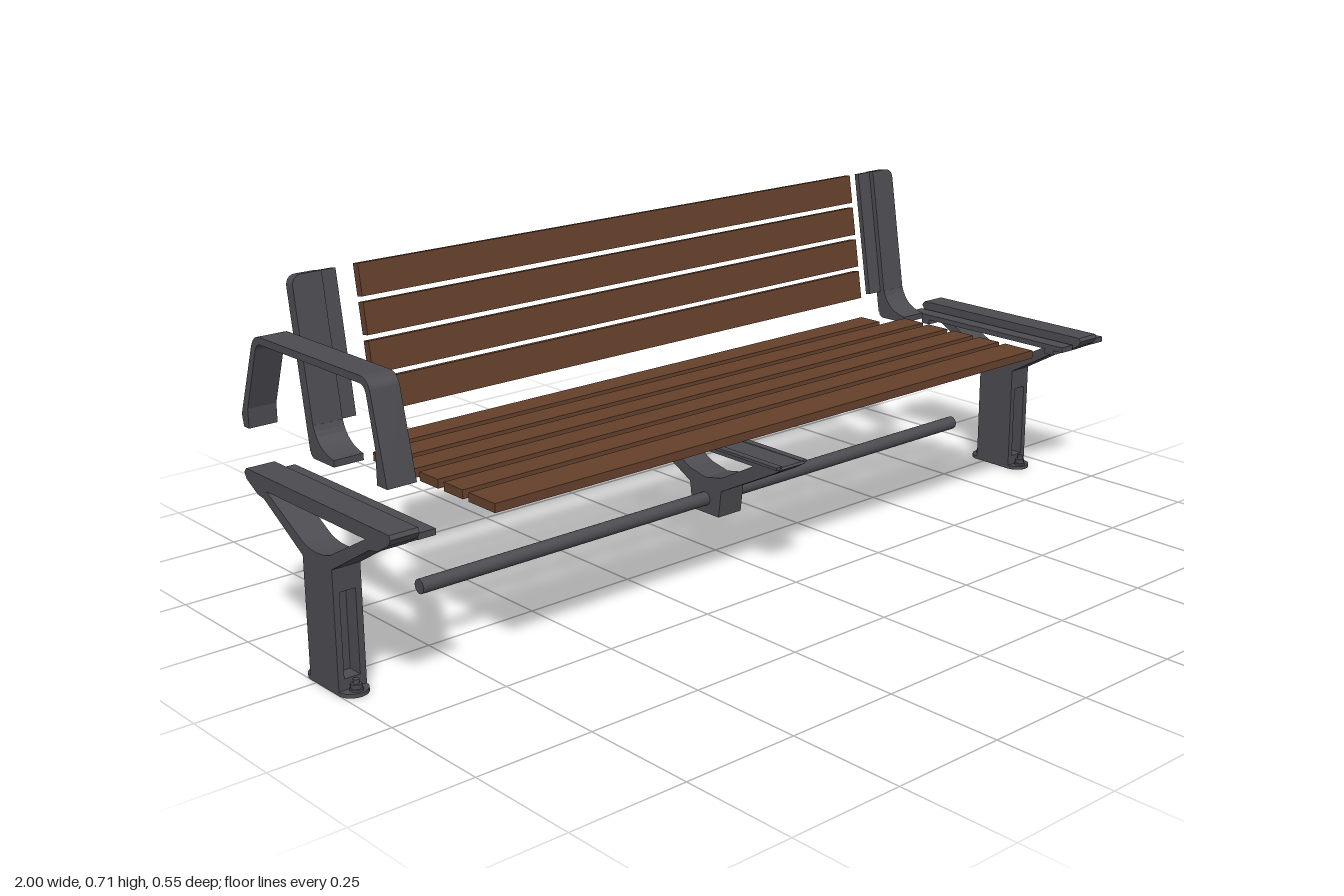
import * as THREE from 'three';

const metal = new THREE.MeshStandardMaterial({ color: 0x4c4b50 });
metal.name = 'dark grey metal';
const wood = new THREE.MeshStandardMaterial({ color: 0x64402b });
wood.name = 'brown wood';

function add(parent, name, geometry, material, x = 0, y = 0, z = 0) {
  const mesh = new THREE.Mesh(geometry, material);
  mesh.name = name;
  mesh.position.set(x, y, z);
  parent.add(mesh);
  return mesh;
}

// Box given by its limits on each axis
function box(parent, name, material, [x0, x1], [y0, y1], [z0, z1]) {
  return add(parent, name, new THREE.BoxGeometry(x1 - x0, y1 - y0, z1 - z0), material,
    (x0 + x1) / 2, (y0 + y1) / 2, (z0 + z1) / 2);
}

const points = (list) => list.map(([a, b]) => new THREE.Vector2(a, b));

// Side profile drawn in (z, y), extruded along x and centred on x = 0
function sideExtrude(shape, width) {
  const g = new THREE.ExtrudeGeometry(shape, { depth: width, bevelEnabled: false, curveSegments: 8 });
  return g.translate(0, 0, -width / 2).rotateY(-Math.PI / 2);
}

function bolt(parent, x, z) {
  add(parent, 'washer', new THREE.CylinderGeometry(0.013, 0.013, 0.004, 20), metal, x, 0.01, z);
  add(parent, 'nut', new THREE.CylinderGeometry(0.011, 0.011, 0.01, 6), metal, x, 0.016, z);
  add(parent, 'stud', new THREE.CylinderGeometry(0.006, 0.006, 0.01, 12), metal, x, 0.025, z);
}

// Post with Y-shaped arms, seat beam and slat flanges on the given sides
function makeLeg(x, sides) {
  const leg = new THREE.Group();
  leg.name = 'leg';
  leg.position.x = x;

  const frame = new THREE.Shape(points([[-0.03, 0.004], [0.03, 0.004], [0.03, 0.235], [-0.03, 0.235]]));
  const slot = new THREE.Path();
  slot.moveTo(-0.017, 0.03);
  slot.lineTo(-0.017, 0.2);
  slot.lineTo(0.017, 0.2);
  slot.lineTo(0.017, 0.03);
  slot.closePath();
  frame.holes.push(slot);
  const postGeo = new THREE.ExtrudeGeometry(frame, { depth: 0.098, bevelEnabled: false });
  add(leg, 'post', postGeo, metal, 0, 0, -0.02);
  box(leg, 'postWeb', metal, [-0.02, 0.02], [0.02, 0.21], [0.014, 0.044]);

  // Base plate with rounded ends
  const base = new THREE.Shape();
  base.absarc(0, 0.078, 0.03, 0, Math.PI, false);
  base.absarc(0, -0.02, 0.03, Math.PI, Math.PI * 2, false);
  base.closePath();
  const baseGeo = new THREE.ExtrudeGeometry(base, { depth: 0.008, bevelEnabled: false });
  add(leg, 'basePlate', baseGeo.rotateX(-Math.PI / 2).translate(0, 0, 0.058), metal);
  bolt(leg, 0, 0.09);
  bolt(leg, 0, -0.032);

  const arms = new THREE.Shape(points([
    [-0.02, 0.225], [0.078, 0.225], [0.078, 0.247], [0.207, 0.322], [0.232, 0.326], [0.268, 0.347],
    [0.275, 0.359], [0.271, 0.367], [-0.207, 0.367], [-0.215, 0.358], [-0.208, 0.346],
    [-0.17, 0.325], [-0.148, 0.322], [-0.02, 0.247]]));
  const gap = new THREE.Path();
  gap.moveTo(0.195, 0.339);
  gap.lineTo(0.073, 0.273);
  gap.quadraticCurveTo(0.029, 0.259, -0.015, 0.273);
  gap.lineTo(-0.137, 0.339);
  gap.closePath();
  arms.holes.push(gap);
  add(leg, 'arms', sideExtrude(arms, 0.06), metal);

  for (const s of sides) {
    const span = (a, b) => (s > 0 ? [a, b] : [-b, -a]);
    box(leg, 'slatFlange', metal, span(0.037, 0.075), [0.338, 0.35], [-0.21, 0.258]);
    for (const z of [-0.165, 0.218]) {
      box(leg, 'flangeLug', metal, span(0.025, 0.073), [0.326, 0.342], [z - 0.012, z + 0.012]);
    }
  }
  return leg;
}

// Bent flat-bar armrest with thickened ends
function makeArmrest() {
  const s = new THREE.Shape();
  s.moveTo(0.274, 0.45);
  s.lineTo(0.236, 0.612);
  s.quadraticCurveTo(0.23, 0.637, 0.205, 0.637);
  s.lineTo(-0.125, 0.637);
  s.quadraticCurveTo(-0.148, 0.637, -0.157, 0.612);
  s.lineTo(-0.208, 0.474);
  s.lineTo(-0.203, 0.45);
  s.lineTo(-0.185, 0.45);
  s.lineTo(-0.185, 0.488);
  s.lineTo(-0.143, 0.607);
  s.quadraticCurveTo(-0.137, 0.623, -0.122, 0.623);
  s.lineTo(0.203, 0.623);
  s.quadraticCurveTo(0.219, 0.623, 0.223, 0.606);
  s.lineTo(0.243, 0.515);
  s.lineTo(0.243, 0.45);
  s.closePath();
  return sideExtrude(s, 0.06);
}

const tilt = -Math.atan(0.16);

// Tilted back upright; drawn with its outer edge towards +x, mirrored by sign
function makeUpright(x, sign) {
  const g = new THREE.Group();
  g.name = 'backUpright';
  g.position.x = x;
  const lean = new THREE.Group();
  lean.name = 'uprightPanel';
  lean.position.set(0, 0.367, -0.207);
  lean.rotation.x = tilt;
  g.add(lean);

  const a = -0.033 * sign, b = 0.033 * sign;
  const s = new THREE.Shape();
  s.moveTo(a, 0);
  s.lineTo(b, 0);
  s.lineTo(b, 0.318);
  s.quadraticCurveTo(b, 0.342, b - 0.024 * sign, 0.342);
  s.lineTo(a, 0.342);
  s.closePath();
  add(lean, 'panel', new THREE.ExtrudeGeometry(s, { depth: 0.024, bevelEnabled: false }), metal, 0, 0, -0.012);
  const strip = sign > 0 ? [-0.071, -0.031] : [0.031, 0.071];
  box(lean, 'slatStrip', metal, strip, [0.05, 0.341], [-0.012, 0]);

  // Foot sweeping forward into the seat
  const f = new THREE.Shape();
  f.moveTo(-0.135, 0.353);
  f.lineTo(-0.135, 0.367);
  f.quadraticCurveTo(-0.188, 0.373, -0.203, 0.42);
  f.lineTo(-0.226, 0.42);
  f.lineTo(-0.216, 0.36);
  f.lineTo(-0.208, 0.353);
  f.closePath();
  add(g, 'foot', sideExtrude(f, 0.066), metal);
  return g;
}

// Low middle bracket that carries the tie bar
function makeBracket() {
  const g = new THREE.Group();
  g.name = 'middleBracket';
  g.position.x = -0.023;
  const s = new THREE.Shape(points([
    [-0.012, 0.108], [0.07, 0.108], [0.078, 0.168], [0.235, 0.247], [0.262, 0.263], [0.258, 0.267],
    [-0.2, 0.267], [-0.204, 0.263], [-0.177, 0.247], [-0.02, 0.168]]));
  s.holes.push(new THREE.Path(points([[0.175, 0.249], [0.078, 0.198], [0.029, 0.188], [-0.02, 0.198], [-0.117, 0.249]])));
  add(g, 'bracketArms', sideExtrude(s, 0.064), metal);
  for (const x of [-0.035, 0.035]) {
    box(g, 'bracketRim', metal, [x - 0.008, x + 0.008], [0.262, 0.268], [-0.198, 0.256]);
  }
  return g;
}

export function createModel() {
  const bench = new THREE.Group();
  bench.name = 'bench';

  bench.add(makeLeg(-0.97, [1]), makeLeg(0.925, [-1, 1]));
  add(bench, 'armrest', makeArmrest(), metal, -0.97);
  bench.add(makeUpright(-0.822, -1), makeUpright(0.773, 1));
  bench.add(makeBracket());
  add(bench, 'tieBar', new THREE.CylinderGeometry(0.015, 0.015, 1.52, 24).rotateZ(Math.PI / 2), metal, -0.024, 0.14, 0.028);

  // Seat slats; the rearmost one is shorter
  box(bench, 'rearSeatSlat', wood, [-0.708, 0.66], [0.351, 0.369], [-0.2, -0.142]);
  for (const z of [[-0.123, -0.063], [-0.045, 0.013], [0.033, 0.092], [0.111, 0.17], [0.188, 0.268]]) {
    box(bench, 'seatSlat', wood, [-0.775, 0.728], [0.351, 0.369], z);
  }

  // Backrest slats
  const back = new THREE.Group();
  back.name = 'backrest';
  back.position.set(-0.024, 0.367, -0.207);
  back.rotation.x = tilt;
  for (let i = 0; i < 4; i++) {
    box(back, 'backSlat', wood, [-0.684, 0.684], [0.048 + i * 0.0765, 0.113 + i * 0.0765], [-0.006, 0.012]);
  }
  bench.add(back);
  return bench;
}
